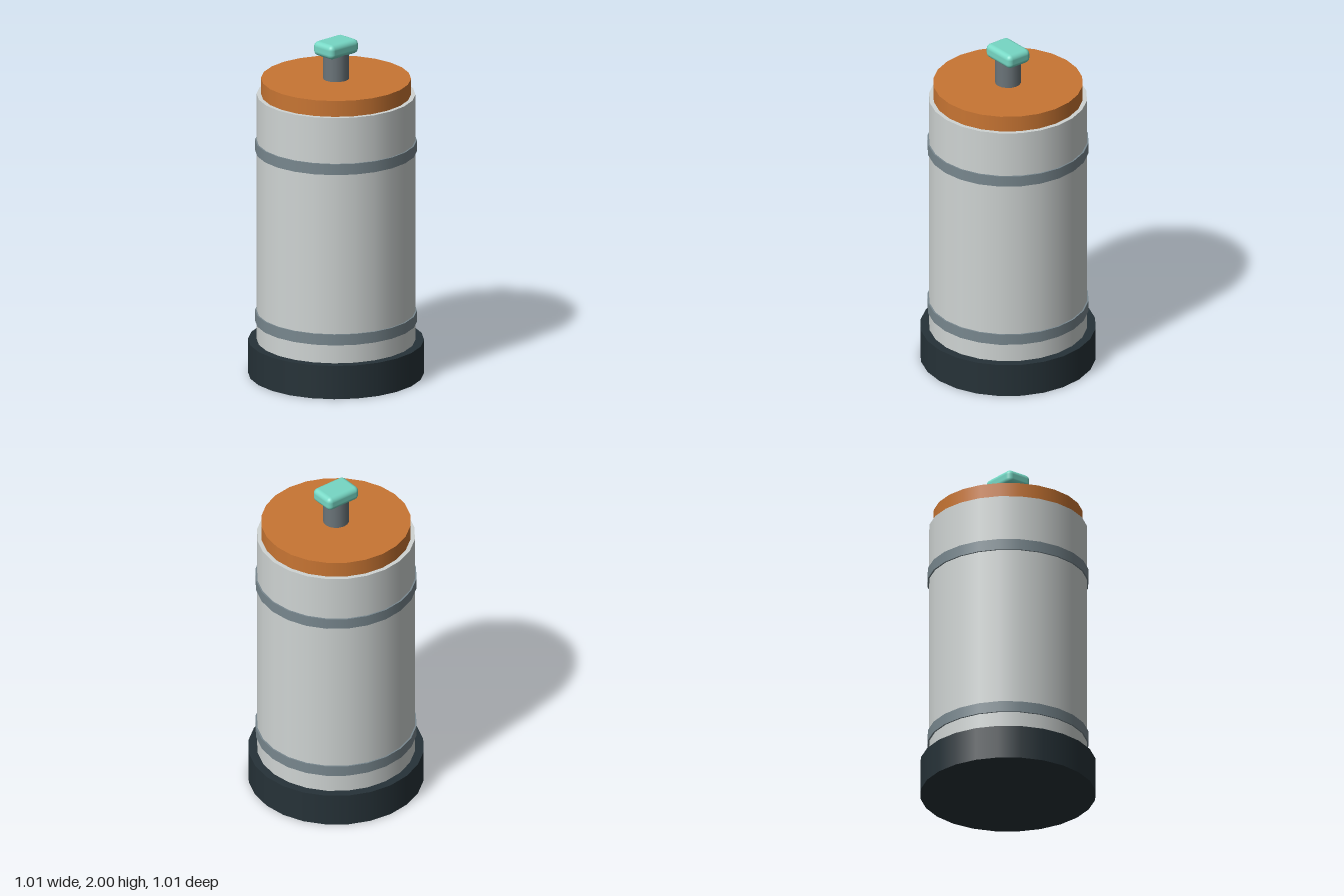
import * as THREE from 'three';
import { RoundedBoxGeometry } from 'three/addons/geometries/RoundedBoxGeometry.js';

export function createModel() {
  const model = new THREE.Group();
  model.name = 'canister';

  const add = (name, geometry, color, y) => {
    const mesh = new THREE.Mesh(geometry, new THREE.MeshStandardMaterial({ color }));
    mesh.name = name;
    mesh.position.y = y;
    model.add(mesh);
  };
  // Upright cylinder between two heights
  const drum = (name, radius, bottom, top, color, sides = 24) =>
    add(name, new THREE.CylinderGeometry(radius, radius, top - bottom, sides), color, (bottom + top) / 2);

  // Base, body and lid
  drum('base', 0.505, 0, 0.2, 0x263238);
  drum('body', 0.455, 0.2, 1.675, 0xcfd4d3);
  drum('lid', 0.43, 1.675, 1.77, 0xc87533);

  // Bands around the body
  drum('lowerBand', 0.464, 0.31, 0.375, 0x78878e);
  drum('upperBand', 0.464, 1.335, 1.4, 0x78878e);

  // Plunger: stem and rounded knob
  drum('stem', 0.075, 1.77, 1.93, 0x6b757a, 16);
  add('knob', new RoundedBoxGeometry(0.225, 0.085, 0.163, 4, 0.03), 0x76d7c4, 1.9575);

  return model;
}
